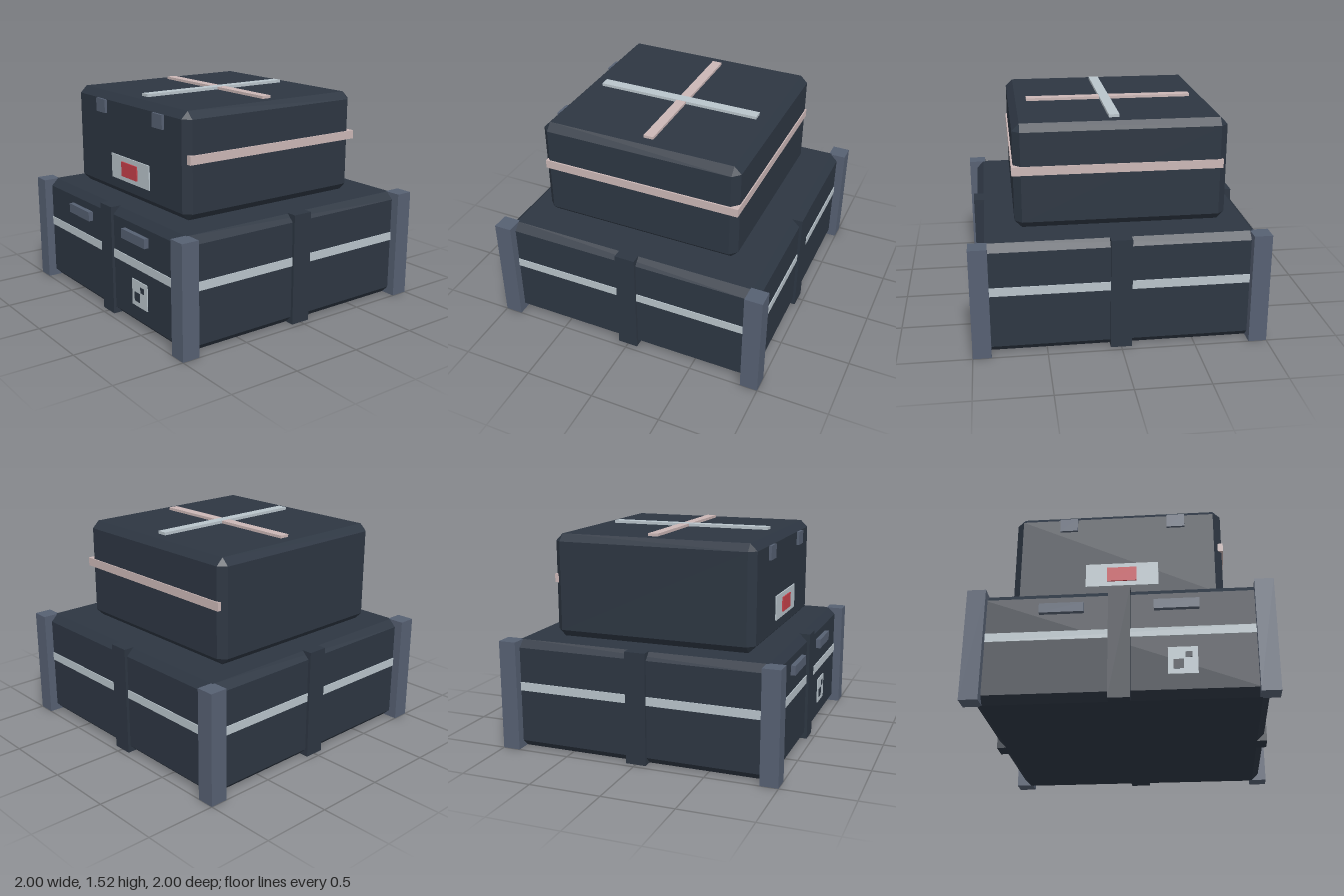
import * as THREE from 'three';
import { ConvexGeometry } from 'three/addons/geometries/ConvexGeometry.js';

const material = (name, color) => {
  const m = new THREE.MeshStandardMaterial({ color });
  m.name = name;
  return m;
};

// Box given by its extents on each axis
function block(parent, name, mat, [x0, x1], [y0, y1], [z0, z1]) {
  const mesh = new THREE.Mesh(new THREE.BoxGeometry(x1 - x0, y1 - y0, z1 - z0), mat);
  mesh.position.set((x0 + x1) / 2, (y0 + y1) / 2, (z0 + z1) / 2);
  mesh.name = name;
  parent.add(mesh);
  return mesh;
}

// Box with all twelve edges chamfered by c
function chamferBox(w, h, d, c) {
  const half = [w / 2, h / 2, d / 2];
  const points = [];
  for (const sx of [-1, 1]) for (const sy of [-1, 1]) for (const sz of [-1, 1]) {
    const s = [sx, sy, sz];
    for (let axis = 0; axis < 3; axis++) {
      points.push(new THREE.Vector3(...half.map((v, i) => s[i] * (i === axis ? v : v - c))));
    }
  }
  return new ConvexGeometry(points);
}

export function createModel() {
  const shell = material('dark shell', 0x2d3642);
  const steel = material('slate fittings', 0x566072);
  const pale = material('pale grey', 0xb9c4cb);
  const pink = material('dusty pink', 0xcbb7b6);
  const red = material('red', 0xc6404a);

  const model = new THREE.Group();
  model.name = 'stackedCases';

  // Lower crate
  const crate = new THREE.Group();
  crate.name = 'lowerCrate';
  model.add(crate);
  const crateBody = new THREE.Mesh(chamferBox(1.88, 0.776, 1.88, 0.05), shell);
  crateBody.position.y = 0.388;
  crateBody.name = 'crateBody';
  crate.add(crateBody);
  block(crate, 'crateStripe', pale, [-0.946, 0.946], [0.42, 0.48], [-0.946, 0.946]);

  // Corner posts
  for (const sx of [-1, 1]) for (const sz of [-1, 1]) {
    const post = block(crate, 'cornerPost', steel, [-0.0625, 0.0625], [0, 0.776], [-0.0625, 0.0625]);
    post.position.x = sx * 0.9375;
    post.position.z = sz * 0.9375;
  }

  // Middle rib on each side
  for (let i = 0; i < 4; i++) {
    const side = new THREE.Group();
    side.name = 'ribSide';
    side.rotation.y = i * Math.PI / 2;
    block(side, 'rib', shell, [-0.072, 0.072], [0, 0.78], [0.885, 0.96]);
    crate.add(side);
  }

  // Front handles and marker label
  for (const x of [-0.377, 0.373]) {
    block(crate, 'handle', steel, [x - 0.147, x + 0.147], [0.605, 0.672], [0.93, 0.973]);
  }
  block(crate, 'markerLabel', pale, [0.31, 0.5], [0.153, 0.337], [0.939, 0.947]);
  block(crate, 'markerSquareLarge', shell, [0.345, 0.41], [0.188, 0.252], [0.943, 0.95]);
  block(crate, 'markerSquareSmall', shell, [0.42, 0.464], [0.263, 0.302], [0.943, 0.95]);

  // Upper case
  const upper = new THREE.Group();
  upper.name = 'upperCase';
  model.add(upper);
  const caseBody = new THREE.Mesh(chamferBox(1.44, 0.72, 1.44, 0.05), shell);
  caseBody.position.set(-0.035, 1.14, 0.03);
  caseBody.name = 'caseBody';
  upper.add(caseBody);

  // Off-centre band, showing on the left and back
  block(upper, 'caseBand', pink, [-0.725, 0.696], [1.16, 1.22], [-0.698, 0.725]);

  // Crossed strips on the lid
  block(upper, 'lidStripAcross', pink, [-0.626, 0.558], [1.495, 1.519], [-0.037, 0.033]);
  block(upper, 'lidStripAlong', pale, [-0.037, 0.035], [1.495, 1.52], [-0.56, 0.624]);

  // Latches and front label
  for (const x of [-0.377, 0.373]) {
    block(upper, 'latch', steel, [x - 0.062, x + 0.062], [1.353, 1.45], [0.74, 0.768]);
  }
  block(upper, 'frontLabel', pale, [-0.25, 0.248], [0.902, 1.075], [0.751, 0.76]);
  block(upper, 'frontLabelPatch', red, [-0.103, 0.1], [0.936, 1.04], [0.76, 0.769]);

  return model;
}
